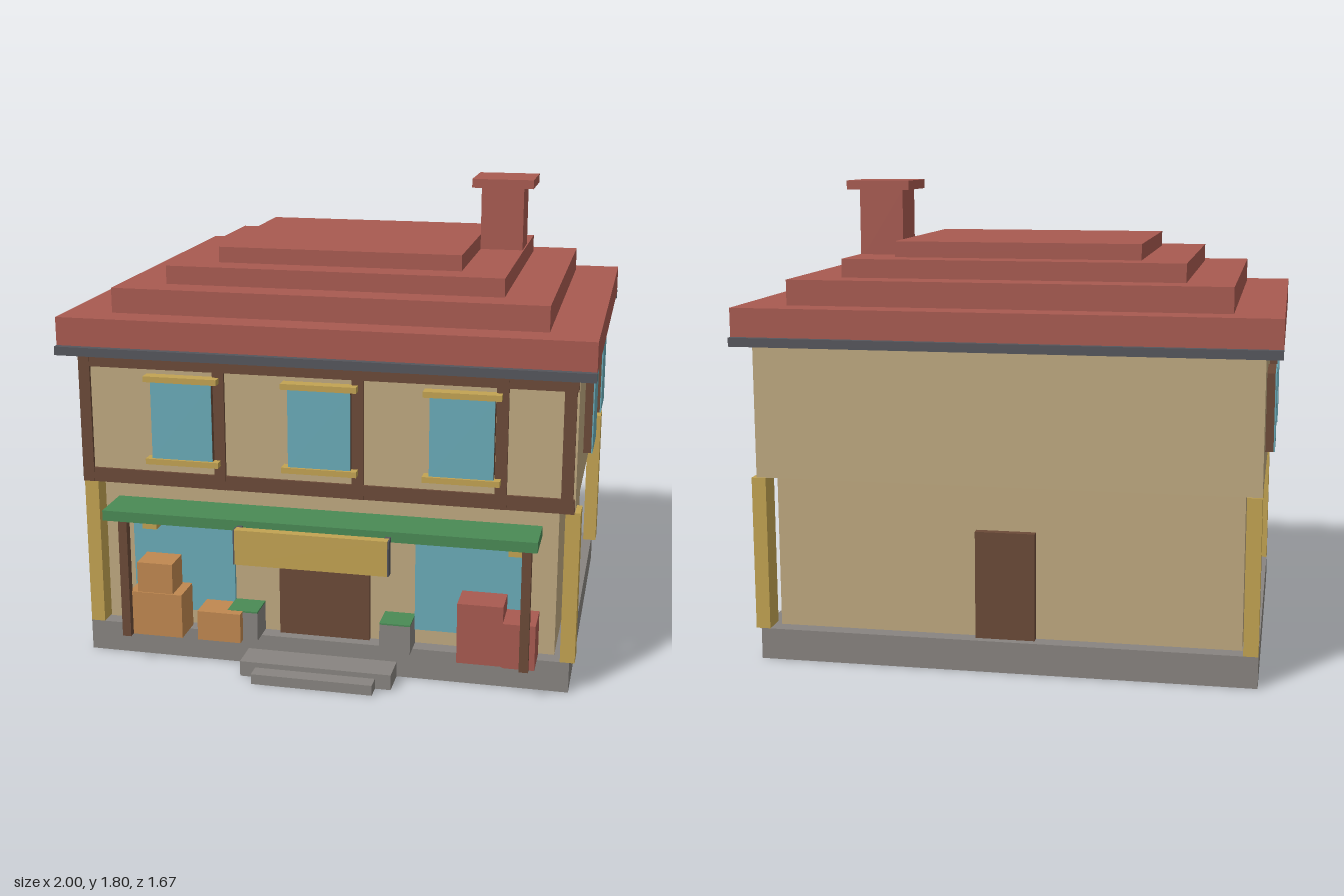
import * as THREE from 'three';

const paint = (name, color) => {
  const m = new THREE.MeshStandardMaterial({ color });
  m.name = name;
  return m;
};

export function createModel() {
  const house = new THREE.Group();
  house.name = 'shopHouse';

  const plaster = paint('plaster', 0xbfa980);
  const roofRed = paint('roofRed', 0xa85a50);
  const darkWood = paint('darkWood', 0x6b4a38);
  const glass = paint('glass', 0x6aabb8);
  const ochre = paint('ochre', 0xc2a352);
  const green = paint('green', 0x4a8a55);
  const stone = paint('stone', 0x888480);
  const iron = paint('iron', 0x55565c);
  const crateWood = paint('crateWood', 0xc08850);

  // Box given by its extents on each axis
  const box = (name, mat, [x0, x1], [y0, y1], [z0, z1]) => {
    const mesh = new THREE.Mesh(new THREE.BoxGeometry(x1 - x0, y1 - y0, z1 - z0), mat);
    mesh.position.set((x0 + x1) / 2, (y0 + y1) / 2, (z0 + z1) / 2);
    mesh.name = name;
    house.add(mesh);
    return mesh;
  };

  // Foundation and front steps
  box('foundation', stone, [-0.94, 0.94], [0, 0.12], [-0.75, 0.66]);
  box('upperStep', stone, [-0.295, 0.29], [0, 0.06], [0.66, 0.78]);
  box('lowerStep', stone, [-0.235, 0.23], [0, 0.04], [0.78, 0.84]);

  // Ground floor and overhanging upper floor
  box('groundFloorWall', plaster, [-0.88, 0.88], [0.12, 0.71], [-0.69, 0.6]);
  box('upperFloorWall', plaster, [-0.94, 0.94], [0.71, 1.24], [-0.75, 0.66]);

  // Corner columns
  for (const x of [[-0.94, -0.885], [0.905, 0.96]])
    for (const z of [[-0.75, -0.66], [0.57, 0.66]])
      box('cornerColumn', ochre, x, [0.12, 0.708], z);

  // Timber framing on the upper front
  for (const y of [[0.705, 0.76], [1.16, 1.207]])
    box('timberBeam', darkWood, [-0.938, 0.938], y, [0.655, 0.67]);
  for (const x of [-0.917, -0.39, 0.14, 0.67, 0.91])
    box('timberPost', darkWood, [x - 0.022, x + 0.022], [0.705, 1.215], [0.655, 0.672]);

  // Upper front windows with sill and lintel
  for (const x of [-0.528, 0, 0.528]) {
    box('frontWindowCasing', darkWood, [x - 0.118, x + 0.118], [0.82, 1.12], [0.655, 0.693]);
    box('frontWindowPane', glass, [x - 0.118, x + 0.118], [0.82, 1.12], [0.693, 0.697]);
    for (const y of [0.8, 1.12])
      box('windowLedge', ochre, [x - 0.142, x + 0.142], [y, y + 0.022], [0.66, 0.708]);
  }

  // Side windows, both sides
  for (const s of [-1, 1])
    for (const z of [[0.07, 0.305], [-0.515, -0.28]]) {
      const span = (a, b) => (s > 0 ? [a, b] : [-b, -a]);
      box('sideWindowCasing', darkWood, span(0.93, 0.97), [0.828, 1.12], z);
      box('sideWindowPane', glass, span(0.97, 0.975), [0.828, 1.12], z);
    }

  // Stepped roof
  const tiers = [
    [1, 1.24, 1.355, -0.81, 0.72],
    [0.822, 1.355, 1.45, -0.695, 0.6],
    [0.645, 1.45, 1.52, -0.575, 0.48],
    [0.47, 1.52, 1.58, -0.46, 0.365],
  ];
  for (const [w, y0, y1, z0, z1] of tiers)
    box('roofTier', roofRed, [-w, w], [y0, y1], [z0, z1]);
  for (const z of [[-0.835, -0.8], [0.71, 0.745]])
    box('gutter', iron, [-1, 1], [1.215, 1.248], z);

  // Chimney
  box('chimney', roofRed, [0.47, 0.64], [1.5, 1.77], [-0.335, -0.16]);
  box('chimneyCap', roofRed, [0.435, 0.68], [1.77, 1.805], [-0.375, -0.13]);

  // Shop front windows and doors
  for (const x of [[-0.765, -0.358], [0.35, 0.765]])
    box('shopWindow', glass, x, [0.18, 0.53], [0.595, 0.615]);
  box('frontDoor', darkWood, [-0.178, 0.175], [0.12, 0.53], [0.595, 0.62]);
  box('backDoor', darkWood, [-0.115, 0.11], [0.12, 0.53], [-0.72, -0.685]);

  // Awning with posts and wall brackets
  box('awning', green, [-0.825, 0.82], [0.588, 0.628], [0.6, 0.78]);
  for (const x of [-0.748, 0.782])
    box('awningPost', darkWood, [x - 0.017, x + 0.017], [0.12, 0.588], [0.745, 0.778]);
  for (const x of [-0.675, 0.735])
    box('awningBracket', ochre, [x - 0.029, x + 0.029], [0.53, 0.588], [0.6, 0.683]);

  // Hanging sign board with iron ends and arms
  box('signBoard', ochre, [-0.29, 0.285], [0.475, 0.61], [0.8, 0.835]);
  for (const s of [-1, 1]) {
    const x = s * 0.29 - 0.0025;
    box('signEnd', iron, [x - 0.003, x + 0.003], [0.475, 0.609], [0.8, 0.834]);
    box('signArm', iron, [s * 0.28 - 0.012, s * 0.28 + 0.008], [0.59, 0.609], [0.77, 0.81]);
  }

  // Crates
  box('largeCrate', crateWood, [-0.74, -0.532], [0.12, 0.295], [0.62, 0.75]);
  box('stackedCrate', crateWood, [-0.708, -0.568], [0.295, 0.415], [0.63, 0.745]);
  box('smallCrate', crateWood, [-0.47, -0.3], [0.12, 0.237], [0.63, 0.75]);
  box('tallRedCrate', roofRed, [0.53, 0.7], [0.12, 0.355], [0.61, 0.745]);
  box('lowRedCrate', roofRed, [0.7, 0.82], [0.12, 0.295], [0.61, 0.755]);

  // Planters with greenery on top
  for (const x of [[-0.36, -0.242], [0.233, 0.35]]) {
    box('planter', stone, x, [0.12, 0.232], [0.6, 0.715]);
    box('planterGreenery', green, x, [0.232, 0.238], [0.6, 0.715]);
  }

  return house;
}
